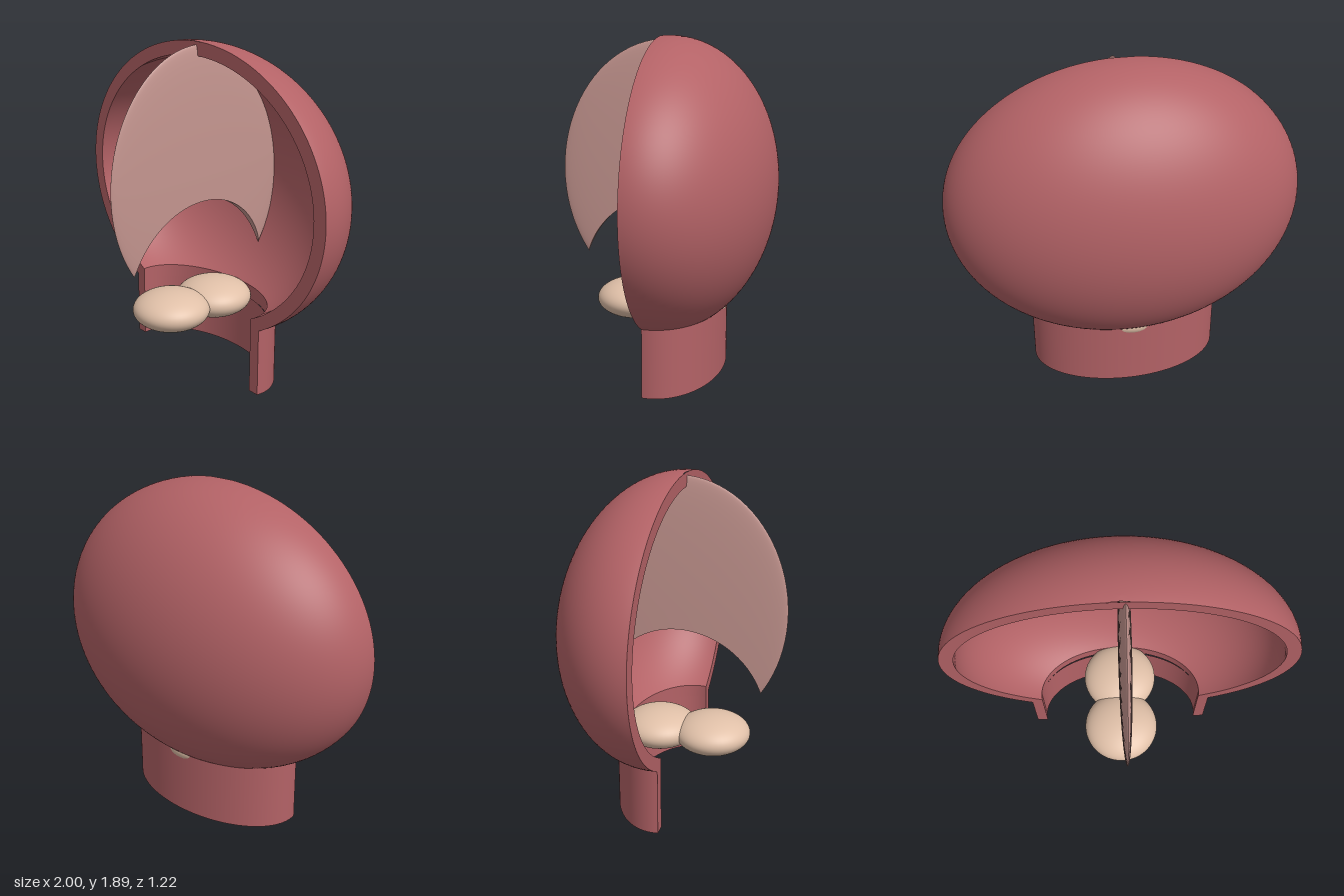
import * as THREE from 'three';

const shellRed = new THREE.MeshStandardMaterial({ color: 0xb36266 });
shellRed.name = 'shell red';
const finPink = new THREE.MeshStandardMaterial({ color: 0xc4958f });
finPink.name = 'fin pink';
const beanTan = new THREE.MeshStandardMaterial({ color: 0xe0c0a8 });
beanTan.name = 'bean tan';

const CUT = 0.035; // z of the flat front section plane

// Smooth grid surface; fn(u, v) returns [x, y, z], front side is along du x dv
function surface(fn, nu, nv) {
  const pos = [], index = [];
  for (let i = 0; i <= nu; i++) for (let j = 0; j <= nv; j++) pos.push(...fn(i / nu, j / nv));
  for (let i = 0; i < nu; i++) for (let j = 0; j < nv; j++) {
    const a = i * (nv + 1) + j, b = a + nv + 1;
    index.push(a, b, a + 1, b, b + 1, a + 1);
  }
  const g = new THREE.BufferGeometry();
  g.setAttribute('position', new THREE.Float32BufferAttribute(pos, 3));
  g.setIndex(index);
  g.computeVertexNormals();
  return g;
}

function add(group, name, geometry, material) {
  const m = new THREE.Mesh(geometry, material);
  m.name = name;
  group.add(m);
  return m;
}

// Elliptical shell sliced by the plane z = CUT. Strips are [r, y] polylines
// running down the outside, across the bottom and up the inside.
function cutShell(name, strips, ratio) {
  const group = new THREE.Group();
  group.name = name;
  const cutAngle = r => (r * ratio <= CUT ? Math.PI / 2 : Math.asin(CUT / (r * ratio)));
  strips.forEach((strip, k) => {
    const n = strip.length - 1;
    add(group, `${name}Wall${k + 1}`, surface((u, v) => {
      const [r, y] = strip[Math.round(u * n)];
      const a = cutAngle(r);
      const t = -a + v * (Math.PI + 2 * a);
      return [r * Math.cos(t), y, -r * ratio * Math.sin(t)];
    }, n, 96), shellRed);
  });
  // flat section faces, left and right
  const all = strips.flat();
  for (const s of [1, -1]) {
    const pts = [];
    all.forEach(([r, y], i) => {
      const x = r * Math.cos(cutAngle(r));
      const end = i === 0 || i === all.length - 1;
      if (x < 1e-4 && !end) return;
      const p = new THREE.Vector2(s * x, y);
      if (!pts.length || pts[pts.length - 1].distanceTo(p) > 1e-5) pts.push(p);
    });
    const face = add(group, name + 'CutFace', new THREE.ShapeGeometry(new THREE.Shape(pts)), shellRed);
    face.position.z = CUT;
  }
  return group;
}

// Arc of an ellipse from its top down to radius rEnd below the middle
function arc(rx, ry, cy, rEnd, n = 56) {
  const last = Math.PI - Math.asin(rEnd / rx);
  return Array.from({ length: n + 1 }, (_, i) => {
    const t = (last * i) / n;
    return [rx * Math.sin(t), cy + ry * Math.cos(t)];
  });
}

// Lens-shaped crescent fin with a round notch below
function makeFin() {
  const group = new THREE.Group();
  group.name = 'fin';
  const cx = 0.025, cy = 1.12, rz = 0.61, ry = 0.75, half = 0.037;
  const point = (t, v, side) => {
    const inner = 0.294 + t * (Math.PI - 0.588);
    const outer = -0.686 + t * (Math.PI + 1.372);
    const k = 1 - (1 - v) ** 2;
    const z = THREE.MathUtils.lerp(0.496 * Math.cos(inner), rz * Math.cos(outer), k);
    const y = THREE.MathUtils.lerp(0.5 + 0.5 * Math.sin(inner), cy + ry * Math.sin(outer), k);
    const e = (z / rz) ** 2 + ((y - cy) / ry) ** 2;
    const x = half * Math.sqrt(Math.max(0, 1 - e));
    return [cx + side * x, y, z < 0 ? z * 0.96 : z]; // back edge stays inside the dome wall
  };
  add(group, 'finLeftFace', surface((u, v) => point(u, v, 1), 64, 16), finPink);
  add(group, 'finRightFace', surface((u, v) => point(v, u, -1), 16, 64), finPink);
  add(group, 'finNotch', surface((u, v) => point(v, 0, 1 - 2 * u), 1, 64), finPink);
  return group;
}

export function createModel() {
  const model = new THREE.Group();
  model.name = 'cutawayShell';

  // Hollow dome with a round opening underneath
  const outer = arc(1, 0.82, 1.068, 0.49);
  const inner = arc(0.92, 0.745, 1.066, 0.49).reverse();
  const lip = [outer[outer.length - 1], inner[0]];
  model.add(cutShell('dome', [outer, lip, inner], 0.615));

  // Neck below the opening
  model.add(cutShell('neck', [
    [[0.555, 0.387], [0.555, 0]],
    [[0.555, 0], [0.49, 0]],
    [[0.49, 0], [0.49, 0.36]],
  ], 0.597));

  model.add(makeFin());

  // Two flattened beans, one in front of the other
  for (const [name, z] of [['frontBean', 0.2], ['rearBean', -0.12]]) {
    const bean = add(model, name, new THREE.SphereGeometry(0.222, 48, 32), beanTan);
    bean.scale.y = 0.5;
    bean.position.set(0, 0.378, z);
  }
  return model;
}
